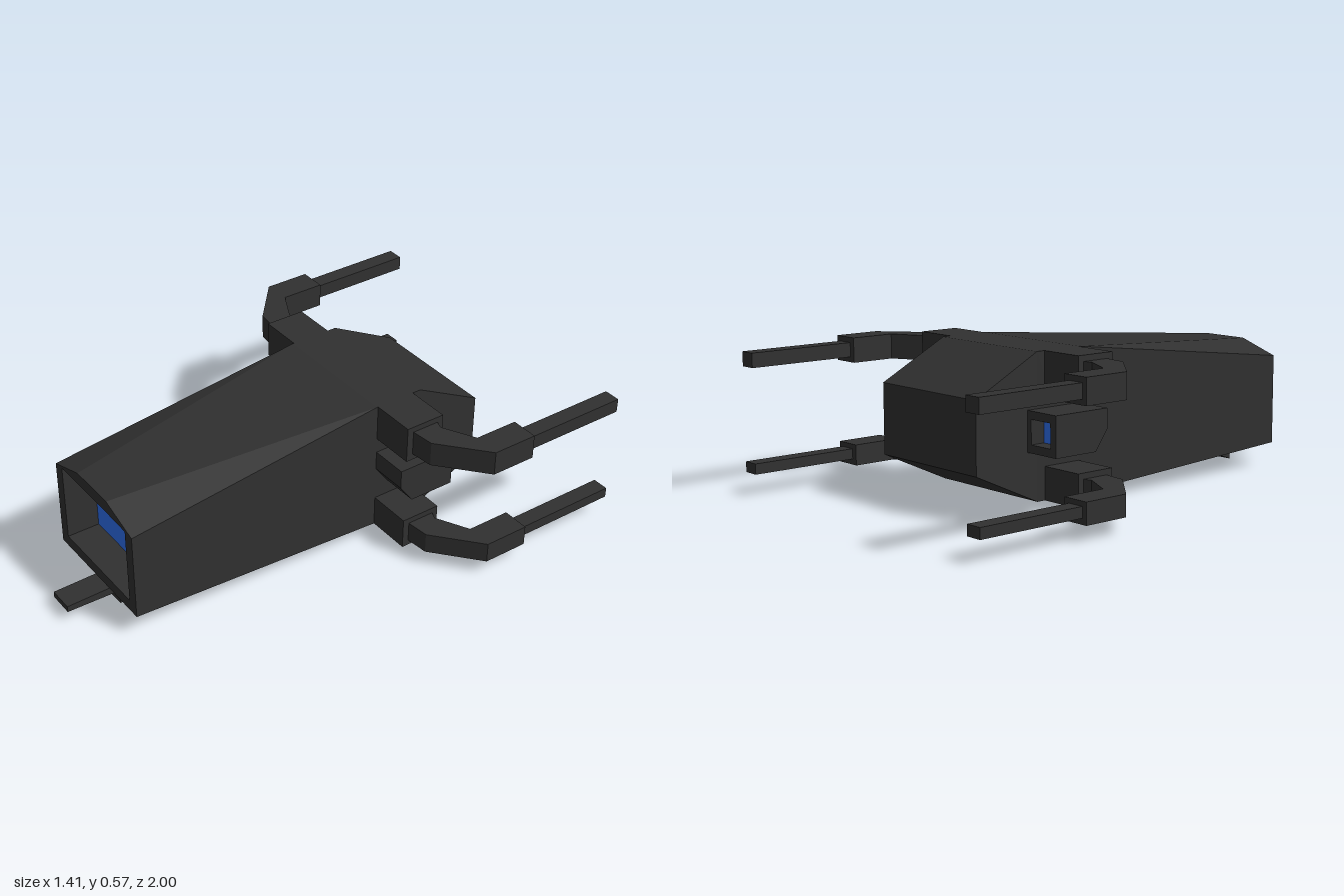
import * as THREE from 'three';

const dark = new THREE.MeshStandardMaterial({ color: 0x303030, flatShading: true });
const blue = new THREE.MeshStandardMaterial({ color: 0x3070f0, flatShading: true });

// Skin a list of rings (each counterclockwise seen from +z), with optional end caps
function loft(rings, capStart, capEnd) {
  const pos = [];
  const tri = (...p) => p.forEach((v) => pos.push(...v));
  for (let r = 0; r < rings.length - 1; r++) {
    const a = rings[r], b = rings[r + 1], n = a.length;
    for (let i = 0; i < n; i++) {
      const j = (i + 1) % n;
      tri(a[i], a[j], b[j]);
      tri(a[i], b[j], b[i]);
    }
  }
  const first = rings[0], last = rings[rings.length - 1];
  for (let i = 1; i < first.length - 1; i++) {
    if (capStart) tri(first[0], first[i + 1], first[i]);
    if (capEnd) tri(last[0], last[i], last[i + 1]);
  }
  const g = new THREE.BufferGeometry();
  g.setAttribute('position', new THREE.Float32BufferAttribute(pos, 3));
  g.computeVertexNormals();
  return g;
}

// Hull ring: vertical sides, flat roof of half width xt, sloped shoulders
const hullRing = (z, w, yb, ys, xt, yt) => [
  [w, yb, z], [w, ys, z], [xt, yt, z], [-xt, yt, z], [-w, ys, z], [-w, yb, z],
];
const rect = (z, cx, hw, y0, y1) => [
  [cx - hw, y0, z], [cx + hw, y0, z], [cx + hw, y1, z], [cx - hw, y1, z],
];

export function createModel() {
  const model = new THREE.Group();
  const add = (parent, name, geo, mat = dark) => {
    const m = new THREE.Mesh(geo, mat);
    m.name = name;
    parent.add(m);
    return m;
  };
  const box = (parent, name, x0, x1, y0, y1, z0, z1, mat) =>
    add(parent, name, new THREE.BoxGeometry(Math.abs(x1 - x0), y1 - y0, z1 - z0)
      .translate((x0 + x1) / 2, (y0 + y1) / 2, (z0 + z1) / 2), mat);

  // Hull, ending at the front in a frame around a recess
  add(model, 'hull', loft([
    hullRing(-0.675, 0.265, 0.165, 0.43, 0.265, 0.43),
    hullRing(-0.4, 0.265, 0.037, 0.572, 0.265, 0.572),
    hullRing(-0.2, 0.265, 0.037, 0.572, 0.265, 0.572),
    hullRing(0.84, 0.265, 0.09, 0.44, 0.1, 0.495),
    hullRing(0.84, 0.22, 0.135, 0.445, 0.1, 0.445),
    hullRing(0.71, 0.22, 0.135, 0.445, 0.1, 0.445),
  ], true, false));
  box(model, 'frontWindow', -0.22, 0.22, 0.135, 0.445, 0.69, 0.712, blue);

  // Chin gun: wedge mount and flat tapering barrel
  const wedge = new THREE.Shape([[-0.8, 0], [-0.8, 0.1], [-0.58, 0.1], [-0.58, 0.08]]
    .map((p) => new THREE.Vector2(...p)));
  add(model, 'chinMount', new THREE.ExtrudeGeometry(wedge, { depth: 0.15, bevelEnabled: false })
    .translate(0, 0, -0.075).rotateY(Math.PI / 2));
  add(model, 'chinBarrel', loft([
    rect(0.78, 0, 0.05, 0.035, 0.068),
    rect(1, 0, 0.05, 0.04, 0.064),
  ], true, true));

  // Bent arm outline in plan (x, -z)
  const armPlan = [[0.43, 0.23], [0.53, 0.24], [0.705, 0.39], [0.705, 0.57],
    [0.597, 0.57], [0.597, 0.395], [0.47, 0.33], [0.43, 0.345]];

  for (const s of [1, -1]) {
    const side = new THREE.Group();
    side.name = s > 0 ? 'leftSide' : 'rightSide';
    model.add(side);

    // Engine pod with a hollow rear and a sloped lower front
    const cx = 0.335 * s;
    add(side, 'enginePod', loft([
      rect(-0.385, cx, 0.05, 0.25, 0.34),
      rect(-0.445, cx, 0.05, 0.25, 0.34),
      rect(-0.445, cx, 0.08, 0.22, 0.37),
      rect(-0.26, cx, 0.08, 0.22, 0.37),
      rect(-0.205, cx, 0.08, 0.295, 0.37),
    ], false, true));
    box(side, 'engineGlow', cx - 0.05, cx + 0.05, 0.25, 0.34, -0.387, -0.37, blue);

    // Upper and lower gun arms
    for (const [name, block, arm, gun] of [
      ['upper', [0.43, 0.572], [0.455, 0.55], [0.475, 0.53]],
      ['lower', [0.037, 0.16], [0.058, 0.138], [0.08, 0.12]],
    ]) {
      box(side, name + 'ArmRoot', 0.25 * s, 0.44 * s, ...block, -0.365, -0.205);
      const plan = new THREE.Shape(armPlan.map(([x, y]) => new THREE.Vector2(x * s, y)));
      add(side, name + 'Arm', new THREE.ExtrudeGeometry(plan, { depth: arm[1] - arm[0], bevelEnabled: false })
        .rotateX(-Math.PI / 2).translate(0, arm[0], 0));
      box(side, name + 'GunBarrel', 0.62 * s, 0.685 * s, ...gun, -1, -0.56);
    }
  }
  return model;
}
